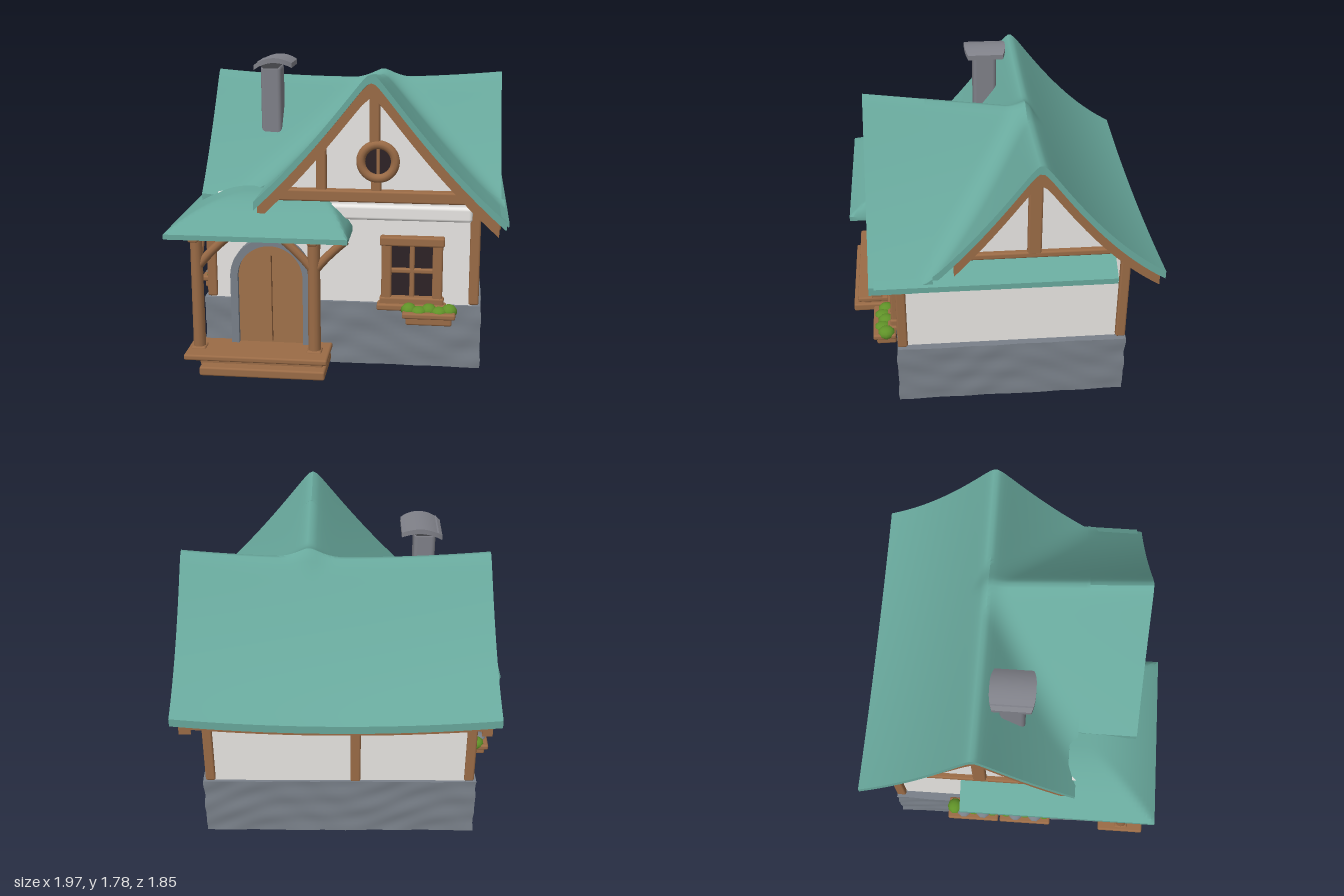
import * as THREE from 'three';
import { toCreasedNormals } from 'three/addons/utils/BufferGeometryUtils.js';
import { RoundedBoxGeometry } from 'three/addons/geometries/RoundedBoxGeometry.js';

const mat = (name, color) => Object.assign(new THREE.MeshStandardMaterial({ color }), { name });
const M = {
  roof: mat('teal roof', 0x68a89c), timber: mat('timber', 0x9a6b46), plank: mat('door plank', 0xa0714a),
  seam: mat('dark seam', 0x6b482c), wall: mat('plaster', 0xeae8e4), white: mat('white plaster', 0xf8f6f3),
  stone: mat('stone', 0x798089), chimney: mat('chimney grey', 0x7f8088),
  glass: mat('dark glass', 0x2e2326), leaf: mat('leaf green', 0x609228),
};
const lerp = THREE.MathUtils.lerp;

function add(parent, name, geo, material, x = 0, y = 0, z = 0) {
  const m = new THREE.Mesh(geo, material);
  m.name = name;
  m.position.set(x, y, z);
  parent.add(m);
  return m;
}

// Softly rounded box given by its two corners
function box(parent, name, material, x0, x1, y0, y1, z0, z1, r = 0.012) {
  const w = x1 - x0, h = y1 - y0, d = z1 - z0;
  const geo = new RoundedBoxGeometry(w, h, d, 2, Math.min(r, w / 3, h / 3, d / 3));
  return add(parent, name, geo, material, (x0 + x1) / 2, (y0 + y1) / 2, (z0 + z1) / 2);
}

// Closed slab under a height surface f(u, v) -> [x, y, z], with x growing in u and z in v
function slab(f, nu, nv, t) {
  const pos = [];
  const P = (i, j, low) => { const p = f(i / nu, j / nv); return [p[0], p[1] - (low ? t : 0), p[2]]; };
  const quad = (a, b, c, d) => pos.push(...a, ...b, ...c, ...a, ...c, ...d);
  for (let i = 0; i < nu; i++) for (let j = 0; j < nv; j++) {
    quad(P(i, j), P(i, j + 1), P(i + 1, j + 1), P(i + 1, j));
    quad(P(i, j, 1), P(i + 1, j, 1), P(i + 1, j + 1, 1), P(i, j + 1, 1));
  }
  for (let i = 0; i < nu; i++) {
    quad(P(i, nv), P(i, nv, 1), P(i + 1, nv, 1), P(i + 1, nv));
    quad(P(i + 1, 0), P(i + 1, 0, 1), P(i, 0, 1), P(i, 0));
  }
  for (let j = 0; j < nv; j++) {
    quad(P(0, j), P(0, j, 1), P(0, j + 1, 1), P(0, j + 1));
    quad(P(nu, j + 1), P(nu, j + 1, 1), P(nu, j, 1), P(nu, j));
  }
  const g = new THREE.BufferGeometry();
  g.setAttribute('position', new THREE.Float32BufferAttribute(pos, 3));
  return toCreasedNormals(g, 0.8);
}

// Saddle-backed main roof blended into the front cross gable
const soft = (d) => Math.sqrt(d * d + 0.0009);
function roofY(x, z) {
  const d = soft(z + 0.2), e = soft(x - 0.2);
  const main = 1.68 - 1.5 * d + (z > -0.2 ? 0.46 : 0.64) * d * d + 0.045 * (x / 0.93) ** 2;
  const drop = 0.13 * ((0.75 - z) / 0.95) * Math.max(0, 1 - e / 0.7);
  const cross = 1.82 - 1.38 * e + 0.33 * e * e - drop - 3 * Math.max(0, -0.2 - z);
  const k = 0.03 + 0.15 * Math.max(0, 1 - x ** 4), h = Math.max(k - Math.abs(main - cross), 0) / k;
  return Math.max(main, cross) + h * h * k / 4;
}

// Hipped porch roof wrapping round the left corner
function porchY(x, z) {
  const t = Math.max(0, Math.min(1, Math.min(0.9 - z, x + 0.98, (0.08 - x) * 2) / 0.42));
  return 0.865 + 0.165 * (1 - (1 - t) ** 2);
}

const extrude = (pts, depth, sideways) => {
  const g = new THREE.ExtrudeGeometry(new THREE.Shape(pts.map((p) => new THREE.Vector2(...p))), { depth, bevelEnabled: false });
  return sideways ? g.rotateY(-Math.PI / 2) : g;   // sideways: profile in z-y, depth towards -x
};

// Board following a curve y = f(a) beneath the roof edge
function barge(f, a0, a1, depth, sideways) {
  const top = [], low = [];
  for (let i = 0; i <= 32; i++) {
    const a = lerp(a0, a1, i / 32);
    top.push([a, f(a) - 0.035]);
    low.unshift([a, f(a) - 0.13]);
  }
  return extrude([...low, ...top], depth, sideways);
}

// Four-pane window facing +z, with its sill
function makeWindow(w, h) {
  const g = new THREE.Group();
  g.name = 'window';
  add(g, 'glass', new THREE.BoxGeometry(w - 0.04, h - 0.04, 0.009), M.glass, 0, 0, 0.01);
  for (const s of [-1, 1]) {
    box(g, 'frameSide', M.timber, s * (w / 2 - 0.03) - 0.03, s * (w / 2 - 0.03) + 0.03, -h / 2, h / 2, 0, 0.055);
    box(g, 'frameRail', M.timber, -w / 2 - 0.01, w / 2 + 0.01, s * (h / 2 - 0.025) - 0.028, s * (h / 2 - 0.025) + 0.028, 0, 0.06);
  }
  box(g, 'mullion', M.timber, -0.015, 0.015, -h / 2, h / 2, 0, 0.035);
  box(g, 'crossBar', M.timber, -w / 2, w / 2, -0.015, 0.015, 0, 0.035);
  box(g, 'sill', M.timber, -w / 2 - 0.025, w / 2 + 0.025, -h / 2 - 0.025, -h / 2 + 0.015, 0, 0.08);
  return g;
}

// Trough with five clumps; colours lists the clump materials
function makeFlowerBox(w, colours) {
  const g = new THREE.Group();
  g.name = 'flowerBox';
  box(g, 'trough', M.timber, -w / 2 + 0.02, w / 2 - 0.02, 0, 0.06, 0, 0.12);
  box(g, 'rim', M.timber, -w / 2, w / 2, 0.045, 0.08, 0, 0.14);
  colours.forEach((c, i) => {
    const s = add(g, 'leaves', new THREE.SphereGeometry(0.048, 10, 8), c, (i - 2) * w * 0.19, 0.075, 0.06 + 0.02 * (i % 2));
    s.scale.set(1, 0.6 + 0.25 * ((i + 1) % 2), 1.1);
  });
  return g;
}

const place = (parent, g, x, y, z, ry = 0) => { g.position.set(x, y, z); g.rotation.y = ry; parent.add(g); };

export function createModel() {
  const house = new THREE.Group();
  house.name = 'cottage';

  // Rough stone base
  const base = new THREE.BoxGeometry(1.66, 0.39, 1.38, 50, 14, 42);
  const p = base.attributes.position;
  for (let i = 0; i < p.count; i++) {
    const x = p.getX(i), y = p.getY(i), z = p.getZ(i);
    const n = 0.005 * Math.sin(36 * y + 2 * Math.sin(6 * (x + z))) * Math.cos(12 * (x - z) + 9 * y);
    p.setXYZ(i, x * (1 + n), y, z * (1 + 1.4 * n));
  }
  add(house, 'stoneBase', toCreasedNormals(base, 0.9), M.stone, 0.015, 0.2, -0.065);

  // Plaster body, white front and gables
  const body = [[-0.74, 0.35], [0.6, 0.35], [0.6, 0.93], [0.3, 1.02], [0.07, 1.24], [-0.2, 1.58], [-0.47, 1.24], [-0.74, 0.98]];
  add(house, 'walls', extrude(body, 1.57, true), M.wall, 0.8);
  box(house, 'frontWall', M.white, -0.78, 0.79, 0.36, 0.95, 0.597, 0.605, 0.001);
  add(house, 'frontGableWall', extrude([[-0.42, 0.9], [0.8, 0.9], [0.8, 1.0], [0.2, 1.65], [-0.42, 0.97]], 0.155), M.white, 0, 0, 0.452);
  const gable = [[-0.68, 1.04], [0.28, 1.04], [0.07, 1.26], [-0.2, 1.58], [-0.47, 1.25]];
  add(house, 'rightGableWall', extrude(gable, 0.06, true), M.white, 0.86);
  add(house, 'leftGableWall', extrude(gable, 0.035, true), M.white, -0.765);
  box(house, 'plasterLedge', M.white, -0.1, 0.78, 0.91, 1.0, 0.58, 0.645, 0.02);

  // Roofs
  add(house, 'mainRoof', slab((u, v) => {
    const z = lerp(-0.92, 0.4, v), f = Math.max(0, (-z - 0.2) / 0.7);
    const x = lerp(-0.87 - 0.04 * f, 0.95 + 0.03 * f, u);
    return [x, roofY(x, z), z];
  }, 64, 56, 0.05), M.roof);
  add(house, 'frontGableRoof', slab((u, v) => {
    const x = lerp(-0.48, 0.97, u), z = lerp(0.4, 0.76, v);
    return [x, roofY(x, z), z];
  }, 64, 10, 0.05), M.roof);
  add(house, 'sideSkirtRoof', slab((u, v) => [lerp(0.8, 0.985, u), lerp(1.07, 0.95, u), lerp(-0.65, 0.73, v)], 4, 4, 0.035), M.roof);
  add(house, 'porchRoof', slab((u, v) => {
    const x = lerp(-0.98, 0.08, u), z = lerp(0.35, 0.9, v);
    return [x, porchY(x, z), z];
  }, 40, 22, 0.03), M.roof);
  add(house, 'leftLeanRoof', slab((u, v) => {
    const x = lerp(-0.98, -0.74, u), z = lerp(-0.3, 0.35, v);
    return [x, porchY(x, z), z];
  }, 10, 10, 0.03), M.roof);

  // Barge boards and eave beams
  add(house, 'frontBargeBoard', barge((x) => roofY(x, 0.72), -0.46, 0.93, 0.06), M.timber, 0, 0, 0.685);
  add(house, 'rightBargeBoard', barge((z) => roofY(0.93, z), -0.9, 0.28, 0.07, true), M.timber, 0.935);
  add(house, 'leftBargeBoard', barge((z) => roofY(-0.86, z), -0.9, 0.39, 0.06, true), M.timber, -0.8);
  box(house, 'rightEaveBeam', M.timber, 0.88, 0.94, 0.885, 0.94, -0.64, 0.7);
  add(house, 'backEaveBeam', slab((u, v) => {
    const x = lerp(-0.85, 0.92, u), z = lerp(-0.9, -0.84, v);
    return [x, roofY(x, z) - 0.04, z];
  }, 16, 1, 0.05), M.timber);

  // Wall timbers
  for (const x of [-0.77, 0.8]) for (const z of [-0.725, 0.59])
    box(house, 'cornerPost', M.timber, x - 0.03, x + 0.03, 0.4, 0.97, z - 0.03, z + 0.03);
  box(house, 'backPost', M.timber, -0.11, -0.05, 0.4, 0.98, -0.765, -0.72);
  for (const x of [-0.8, 0.865]) {
    box(house, 'gableBeam', M.timber, x - 0.03, x + 0.025, 1.05, 1.09, -0.62, 0.28);
    box(house, 'gablePost', M.timber, x - 0.03, x + 0.025, 1.07, 1.58, -0.22, -0.14);
  }
  box(house, 'frontGableBeam', M.timber, -0.36, 0.8, 1.02, 1.09, 0.59, 0.66);
  box(house, 'frontGablePost', M.timber, 0.19, 0.25, 1.07, 1.16, 0.59, 0.645);
  box(house, 'frontGablePost', M.timber, 0.18, 0.24, 1.35, 1.65, 0.59, 0.645);
  box(house, 'frontGableStrut', M.timber, -0.13, -0.07, 1.07, 1.33, 0.59, 0.645);

  // Round window
  add(house, 'roundWindowFrame', new THREE.TorusGeometry(0.1, 0.026, 10, 32), M.timber, 0.23, 1.26, 0.63);
  add(house, 'roundWindowGlass', new THREE.CircleGeometry(0.1, 32), M.glass, 0.23, 1.26, 0.614);
  box(house, 'roundWindowBar', M.timber, 0.22, 0.24, 1.17, 1.35, 0.605, 0.63);

  // Windows and flower boxes
  place(house, makeWindow(0.36, 0.42), 0.435, 0.605, 0.603);
  place(house, makeFlowerBox(0.31, Array(5).fill(M.leaf)), 0.54, 0.31, 0.63);
  place(house, makeWindow(0.34, 0.4), -0.77, 0.61, -0.07, -Math.PI / 2);
  for (const z of [-0.24, 0.1])
    place(house, makeFlowerBox(0.33, [M.leaf, M.stone, M.leaf, M.stone, M.leaf]), -0.79, 0.32, z, -Math.PI / 2);

  // Arched door in its stone surround
  const arch = (r, y0) => new THREE.Shape().moveTo(-r, y0).lineTo(r, y0).lineTo(r, 0.55).absarc(0, 0.55, r, 0, Math.PI).lineTo(-r, y0);
  const surround = arch(0.24, 0.1);
  surround.holes.push(arch(0.195, 0.11));
  const opts = { bevelEnabled: false, curveSegments: 24 };
  add(house, 'doorSurround', new THREE.ExtrudeGeometry(surround, { ...opts, depth: 0.1 }), M.stone, -0.405, 0, 0.58);
  add(house, 'door', new THREE.ExtrudeGeometry(arch(0.2, 0.12), { ...opts, depth: 0.06 }), M.plank, -0.405, 0, 0.59);
  add(house, 'plankSeam', new THREE.BoxGeometry(0.006, 0.54, 0.006), M.seam, -0.4, 0.41, 0.651);

  // Porch deck, posts, beams and braces
  box(house, 'lowerStep', M.timber, -0.79, -0.05, 0.015, 0.07, 0.6, 0.93);
  box(house, 'deckFrame', M.timber, -0.8, -0.07, 0.05, 0.11, 0.6, 0.86);
  box(house, 'deck', M.timber, -0.89, -0.04, 0.095, 0.13, 0.6, 0.9);
  box(house, 'porchBeam', M.timber, -0.9, 0.04, 0.8, 0.86, 0.72, 0.79);
  const brace = (a, b, c) => add(house, 'brace', new THREE.TubeGeometry(new THREE.QuadraticBezierCurve3(
    new THREE.Vector3(...a), new THREE.Vector3(...b), new THREE.Vector3(...c)), 10, 0.026, 8), M.timber);
  for (const [x, dirs] of [[-0.825, [1]], [-0.13, [-1, 1]]]) {
    add(house, 'porchPost', new THREE.CylinderGeometry(0.036, 0.038, 0.74, 12), M.timber, x, 0.46, 0.755);
    box(house, 'postFoot', M.timber, x - 0.045, x + 0.045, 0.1, 0.14, 0.71, 0.8);
    box(house, 'porchSideBeam', M.timber, x - 0.03, x + 0.03, 0.8, 0.85, 0.58, 0.84);
    for (const s of dirs) brace([x, 0.62, 0.755], [x + s * 0.06, 0.71, 0.755], [x + s * 0.19, 0.82, 0.755]);
    brace([x, 0.57, 0.755], [x, 0.66, 0.72], [x, 0.82, 0.61]);
  }

  // Chimney with flared top and curled hood
  box(house, 'chimneyStack', M.chimney, -0.555, -0.425, 1.28, 1.73, -0.075, 0.075, 0.025);
  const flare = add(house, 'chimneyFlare', new THREE.CylinderGeometry(0.17, 0.1, 0.045, 4).rotateY(Math.PI / 4), M.chimney, -0.49, 1.735, 0);
  flare.scale.x = 0.65;
  add(house, 'chimneyHood', slab((u, v) => {
    const w = 0.13 - 0.02 * Math.abs(2 * u - 1) ** 3;
    return [lerp(-0.59, -0.35, u), 1.715 + 0.07 * Math.sin(Math.PI * (0.06 + 0.8 * u)) ** 0.7, lerp(-w, w, v)];
  }, 20, 4, 0.03), M.chimney);

  return house;
}
